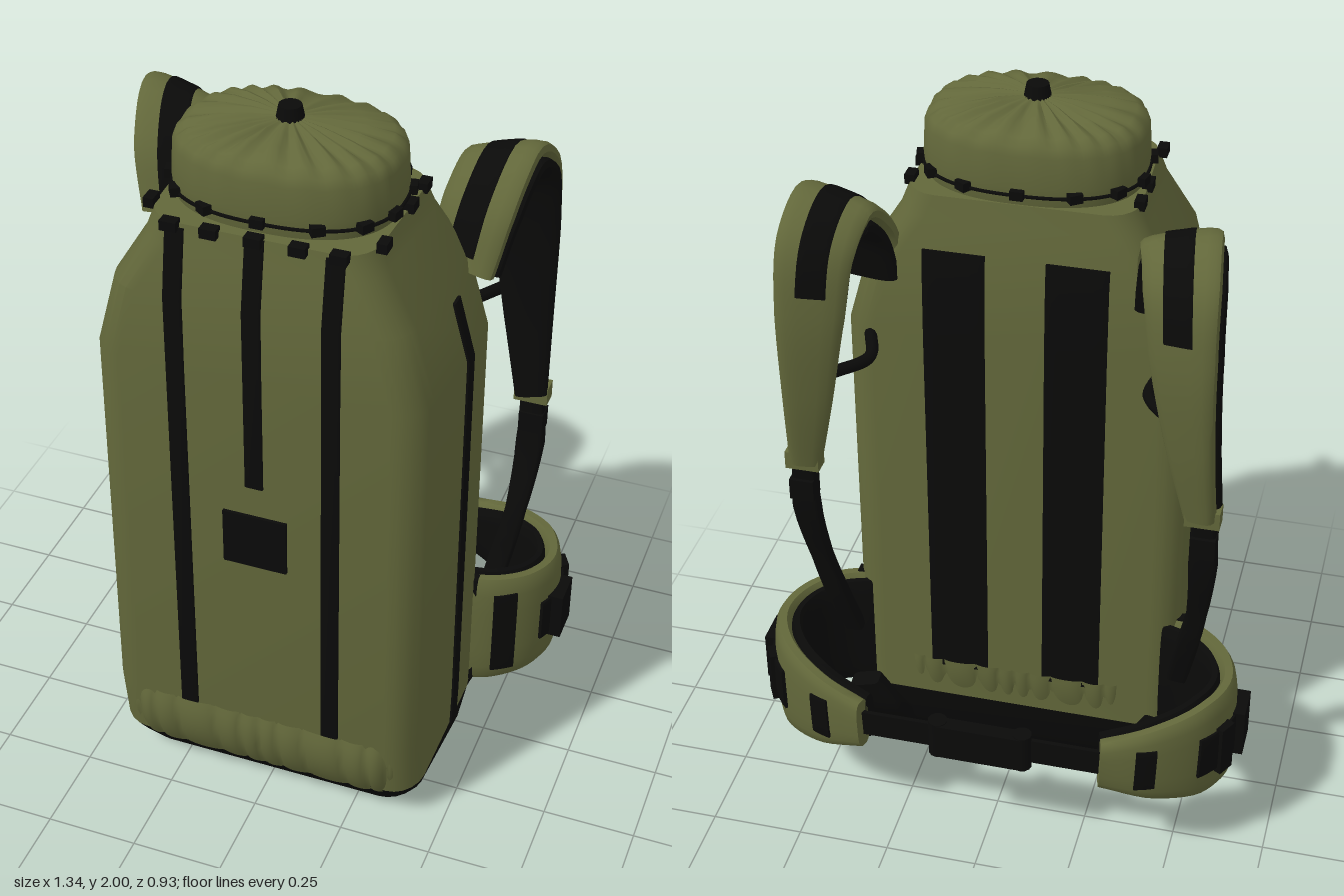
import * as THREE from 'three';
import { toCreasedNormals } from 'three/addons/utils/BufferGeometryUtils.js';

const V = (x, y, z) => new THREE.Vector3(x, y, z);

// Skin a list of equal-length closed rings, with end caps, always facing outward.
function loft(rings, crease = 0.7) {
  const n = rings[0].length, pos = [], idx = [];
  rings.forEach(r => r.forEach(p => pos.push(p.x, p.y, p.z)));
  const tri = (a, b, c) => idx.push(a, b, c);
  for (let i = 0; i < rings.length - 1; i++)
    for (let j = 0; j < n; j++) {
      const a = i * n + j, b = i * n + (j + 1) % n;
      tri(a, b, b + n);
      tri(a, b + n, a + n);
    }
  [0, rings.length - 1].forEach((i, end) => {
    const c = rings[i].reduce((s, p) => s.add(p), V(0, 0, 0)).divideScalar(n), k = pos.length / 3;
    pos.push(c.x, c.y, c.z);
    for (let j = 0; j < n; j++) {
      const a = i * n + j, b = i * n + (j + 1) % n;
      end ? tri(a, b, k) : tri(b, a, k);
    }
  });
  const at = i => V(pos[3 * i], pos[3 * i + 1], pos[3 * i + 2]);
  let volume = 0;
  for (let i = 0; i < idx.length; i += 3) volume += at(idx[i]).dot(at(idx[i + 1]).cross(at(idx[i + 2])));
  if (volume < 0) idx.reverse();
  const g = new THREE.BufferGeometry();
  g.setAttribute('position', new THREE.Float32BufferAttribute(pos, 3));
  g.setIndex(idx);
  return toCreasedNormals(g, crease);
}

// Horizontal rounded rectangle, narrowing towards the front; tilt raises its back edge.
function section(y, hw, zb, zf, r = 0.08, tilt = 0) {
  const out = [], zc = (zb + zf) / 2, hz = (zf - zb) / 2;
  for (let q = 0; q < 4; q++)
    for (let k = 0; k <= 5; k++) {
      const a = (q + k / 5) * Math.PI / 2, m = q * Math.PI / 2 + Math.PI / 4;
      const x = Math.sign(Math.cos(m)) * (hw - r) + r * Math.cos(a);
      const z = zc + Math.sign(Math.sin(m)) * (hz - r) + r * Math.sin(a);
      out.push(V(x * (1 - 0.22 * Math.max(0, z - 0.17)), y + tilt * (zf - z) / (zf - zb), z));
    }
  return out;
}

// Sweep a padded flat section along points; widths are spread along the path.
function band(points, widths, thick, hint, o = {}) {
  const { off = 0, tilt = 0, steps = 0, from = 0, to = 1, power = 0.4 } = o;
  let P = points;
  if (steps) {
    const c = new THREE.CatmullRomCurve3(points);
    P = Array.from({ length: steps + 1 }, (_, i) => c.getPoint(from + (to - from) * i / steps));
  }
  return loft(P.map((p, i) => {
    const T = P[Math.min(i + 1, P.length - 1)].clone().sub(P[Math.max(i - 1, 0)]).normalize();
    const W0 = hint.clone().addScaledVector(T, -hint.dot(T)).normalize();
    const N0 = W0.clone().cross(T);
    const W = W0.clone().multiplyScalar(Math.cos(tilt)).addScaledVector(N0, Math.sin(tilt));
    const N = N0.clone().multiplyScalar(Math.cos(tilt)).addScaledVector(W0, -Math.sin(tilt));
    const f = (from + (to - from) * i / (P.length - 1)) * (widths.length - 1);
    const k = Math.min(Math.floor(f), widths.length - 1), k2 = Math.min(k + 1, widths.length - 1);
    const w = widths[k] + (widths[k2] - widths[k]) * (f - k);
    return Array.from({ length: 16 }, (_, j) => {
      const a = (j + 0.5) / 16 * Math.PI * 2, c = Math.cos(a), s = Math.sin(a);
      return p.clone()
        .addScaledVector(W, Math.sign(c) * Math.abs(c) ** power * w / 2)
        .addScaledVector(N, off + Math.sign(s) * Math.abs(s) ** power * thick / 2);
    });
  }));
}

// Mirrored copy across x = 0 with corrected winding.
function mirrored(src) {
  const g = src.index ? src.toNonIndexed() : src.clone();
  g.scale(-1, 1, 1);
  for (const a of Object.values(g.attributes))
    for (let i = 0; i < a.count; i += 3)
      for (let k = 0; k < a.itemSize; k++) {
        const t = a.getComponent(i + 1, k);
        a.setComponent(i + 1, k, a.getComponent(i + 2, k));
        a.setComponent(i + 2, k, t);
      }
  return g;
}

function box(w, h, d, x, y, z, ry = 0) {
  return new THREE.BoxGeometry(w, h, d).rotateY(ry).translate(x, y, z);
}

// Gathered fabric panel with sharp folds.
function ruffle(width, height, bulge) {
  const g = new THREE.PlaneGeometry(width, height, 96, 8), p = g.attributes.position;
  for (let i = 0; i < p.count; i++) {
    const u = p.getX(i) / (width / 2), v = p.getY(i) / (height / 2);
    const fold = Math.abs(Math.sin(u * 17 + Math.sin(u * 7) + 0.25 * v)) ** 0.6 - 0.6;
    p.setZ(i, 0.014 * v + bulge * (1 - v * v) + fold * 0.014 * (1 - 0.4 * v * v) - 0.05 * u ** 12);
  }
  g.computeVertexNormals();
  return g;
}

export function createModel() {
  const root = new THREE.Group();
  const olive = new THREE.MeshStandardMaterial({ color: 0x62673a });
  olive.name = 'olive fabric';
  const black = new THREE.MeshStandardMaterial({ color: 0x0a0a09 });
  black.name = 'black webbing';
  const add = (name, geo, mat) => {
    const m = new THREE.Mesh(geo, mat);
    m.name = name;
    root.add(m);
  };
  const pair = (name, geo, mat) => {
    add(name + 'Left', geo, mat);
    add(name + 'Right', mirrored(geo), mat);
  };
  const X = V(1, 0, 0), Y = V(0, 1, 0), Z = V(0, 0, 1);

  // Main sack and base
  add('base', loft([section(0, 0.385, 0.02, 0.34), section(0.012, 0.405, 0, 0.365),
    section(0.07, 0.435, -0.03, 0.405), section(0.11, 0.453, -0.05, 0.43, 0.08, 0.08)]), black);
  add('sack', loft([section(0.11, 0.453, -0.05, 0.43, 0.08, 0.08), section(0.28, 0.455, -0.05, 0.455),
    section(1.38, 0.453, -0.05, 0.455), section(1.58, 0.398, -0.045, 0.452),
    section(1.71, 0.315, -0.025, 0.43), section(1.77, 0.292, -0.015, 0.42)], 0.4), olive);
  add('frontRuffle', ruffle(0.78, 0.19, 0.022).translate(0, 0.19, 0.443), olive);
  add('backRuffle', ruffle(0.66, 0.14, 0.006).rotateY(Math.PI).translate(0, 0.25, -0.046), olive);

  // Gathered cap
  const capRing = (y, s, pleat) => Array.from({ length: 132 }, (_, i) => {
    const a = i / 132 * Math.PI * 2, c = Math.cos(a), n = Math.sin(a), e = 0.82;
    const wave = pleat * Math.sin(a * 22 + Math.sin(a * 3)), k = s + wave * 0.5;
    return V(Math.sign(c) * Math.abs(c) ** e * 0.283 * k, y + wave,
      0.19 + Math.sign(n) * Math.abs(n) ** e * 0.208 * k);
  });
  add('cap', loft([capRing(1.75, 0.95, 0), capRing(1.79, 0.99, 0), capRing(1.82, 1.0, 0.001), capRing(1.9, 0.985, 0.002),
    capRing(1.925, 0.95, 0.003), capRing(1.942, 0.86, 0.005), capRing(1.956, 0.62, 0.007),
    capRing(1.965, 0.35, 0.006), capRing(1.97, 0.1, 0.001)], 1), olive);
  add('capKnob', new THREE.CylinderGeometry(0.028, 0.035, 0.035, 16).translate(0, 1.983, 0.19), black);

  // Cord and clips round the neck
  add('neckCord', new THREE.TubeGeometry(
    new THREE.CatmullRomCurve3(capRing(1.797, 1.0, 0).filter((_, i) => i % 4 === 0), true), 80, 0.005, 6, true), black);
  for (let i = 0; i < 14; i++) {
    const p = capRing(1.803, 1.02, 0)[Math.round((i + 0.5) / 14 * 132) % 132];
    add('neckClip', box(0.034, 0.024, 0.024, p.x, p.y, p.z, Math.atan2(p.x, p.z - 0.19)), black);
  }
  for (const x of [-0.21, -0.11, 0, 0.11, 0.21])
    add('rimClip', box(0.042, 0.026, 0.03, x, 1.768, 0.427), black);
  for (const z of [0.06, 0.16, 0.35])
    pair('rimSideClip', box(0.026, 0.026, 0.04, 0.29, 1.775, z), black);

  // Front, side and back stripes
  pair('frontStripe', band([V(0.2, 0.285, 0.457), V(0.2, 1.58, 0.455), V(0.2, 1.71, 0.433), V(0.2, 1.76, 0.424)],
    [0.048], 0.009, X), black);
  add('centreStripe', band([V(0, 1.07, 0.457), V(0, 1.58, 0.455), V(0, 1.71, 0.433), V(0, 1.77, 0.422)],
    [0.048], 0.009, X), black);
  add('frontPatch', box(0.17, 0.16, 0.009, 0, 0.9, 0.459), black);
  pair('sideStripe', band([V(0.455, 0.175, 0.165), V(0.457, 0.28, 0.165), V(0.455, 1.38, 0.165), V(0.412, 1.54, 0.165)],
    [0.044], 0.009, Z), black);
  pair('backStripe', band([V(0.158, 0.3, -0.052), V(0.158, 1.38, -0.052), V(0.158, 1.58, -0.047), V(0.158, 1.63, -0.04)],
    [0.162], 0.009, X), black);

  // Shoulder straps: pad, dark lining, stripe
  const strap = [V(0.38, 1.54, 0.01), V(0.405, 1.69, -0.035), V(0.43, 1.775, -0.13), V(0.45, 1.71, -0.22),
    V(0.465, 1.54, -0.25), V(0.49, 1.29, -0.235), V(0.52, 1.06, -0.2)];
  const strapW = [0.18, 0.2, 0.2, 0.195, 0.175, 0.13, 0.085];
  pair('shoulderPad', band(strap, strapW, 0.05, X, { steps: 36, tilt: 0.25, off: 0.01, power: 0.65 }), olive);
  pair('shoulderLining', band(strap, strapW, 0.045, X, { steps: 36, tilt: 0.25, off: -0.028, power: 0.6 }), black);
  pair('shoulderStripe', band(strap, [0.075], 0.009, X, { steps: 24, tilt: 0.25, off: 0.034, from: 0.04, to: 0.62 }), black);
  pair('strapBuckle', box(0.09, 0.05, 0.05, 0.525, 1.06, -0.2), olive);
  pair('strapWebbing', band([V(0.525, 1.07, -0.2), V(0.53, 0.9, -0.19), V(0.515, 0.7, -0.14), V(0.49, 0.56, -0.11),
    V(0.46, 0.4, -0.06)], [0.06, 0.075, 0.055, 0.06, 0.055], 0.04, X, { steps: 16 }), black);
  pair('webbingSlider', box(0.065, 0.06, 0.055, 0.53, 0.97, -0.2), black);
  pair('strapLoop', new THREE.TubeGeometry(new THREE.CatmullRomCurve3(
    [V(0.38, 1.37, -0.045), V(0.36, 1.345, -0.12), V(0.43, 1.35, -0.225)]), 14, 0.016, 8), black);

  // Hip belt wings with dark lining
  const belt = [V(0.42, 0.37, -0.005), V(0.5, 0.37, -0.03), V(0.575, 0.37, -0.095), V(0.605, 0.37, -0.19),
    V(0.56, 0.375, -0.3), V(0.45, 0.38, -0.385), V(0.32, 0.385, -0.425)];
  const beltW = [0.37, 0.36, 0.345, 0.33, 0.31, 0.24, 0.15];
  pair('hipWing', band(belt, beltW, 0.055, Y, { steps: 32, off: -0.01, power: 0.6 }), olive);
  pair('hipLining', band(belt, beltW.map(w => w - 0.01), 0.04, Y, { steps: 32, off: 0.027, power: 0.6 }), black);
  pair('hipSeam', box(0.03, 0.36, 0.03, 0.447, 0.375, 0.005), black);
  pair('hipStripe', band(belt, [0.27], 0.009, Y, { steps: 6, off: -0.038, from: 0.15, to: 0.25 }), black);
  pair('hipWebbing', band(belt, [0.13], 0.012, Y, { steps: 16, off: -0.041, from: 0.36, to: 0.7 }), black);
  pair('hipTab', band(belt, [0.13], 0.009, Y, { steps: 6, off: -0.04, from: 0.83, to: 0.89 }), black);
  pair('hipBuckle', box(0.045, 0.14, 0.1, 0.648, 0.37, -0.17), black);
  pair('hipBuckleFront', box(0.035, 0.15, 0.05, 0.622, 0.37, -0.275, 0.5), black);
  pair('lowerStrap', band([V(0.42, 0.25, -0.11), V(0.385, 0.15, -0.085), V(0.35, 0.04, -0.005)],
    [0.09, 0.13, 0.1], 0.05, X, { steps: 10 }), black);

  // Waist strap and centre buckle
  add('waistStrap', box(0.68, 0.075, 0.012, 0, 0.385, -0.43), black);
  add('waistBuckle', box(0.23, 0.105, 0.042, 0, 0.385, -0.438), black);
  pair('waistBuckleEnd', new THREE.CylinderGeometry(0.026, 0.026, 0.11, 12).translate(0.115, 0.385, -0.432), black);
  return root;
}
